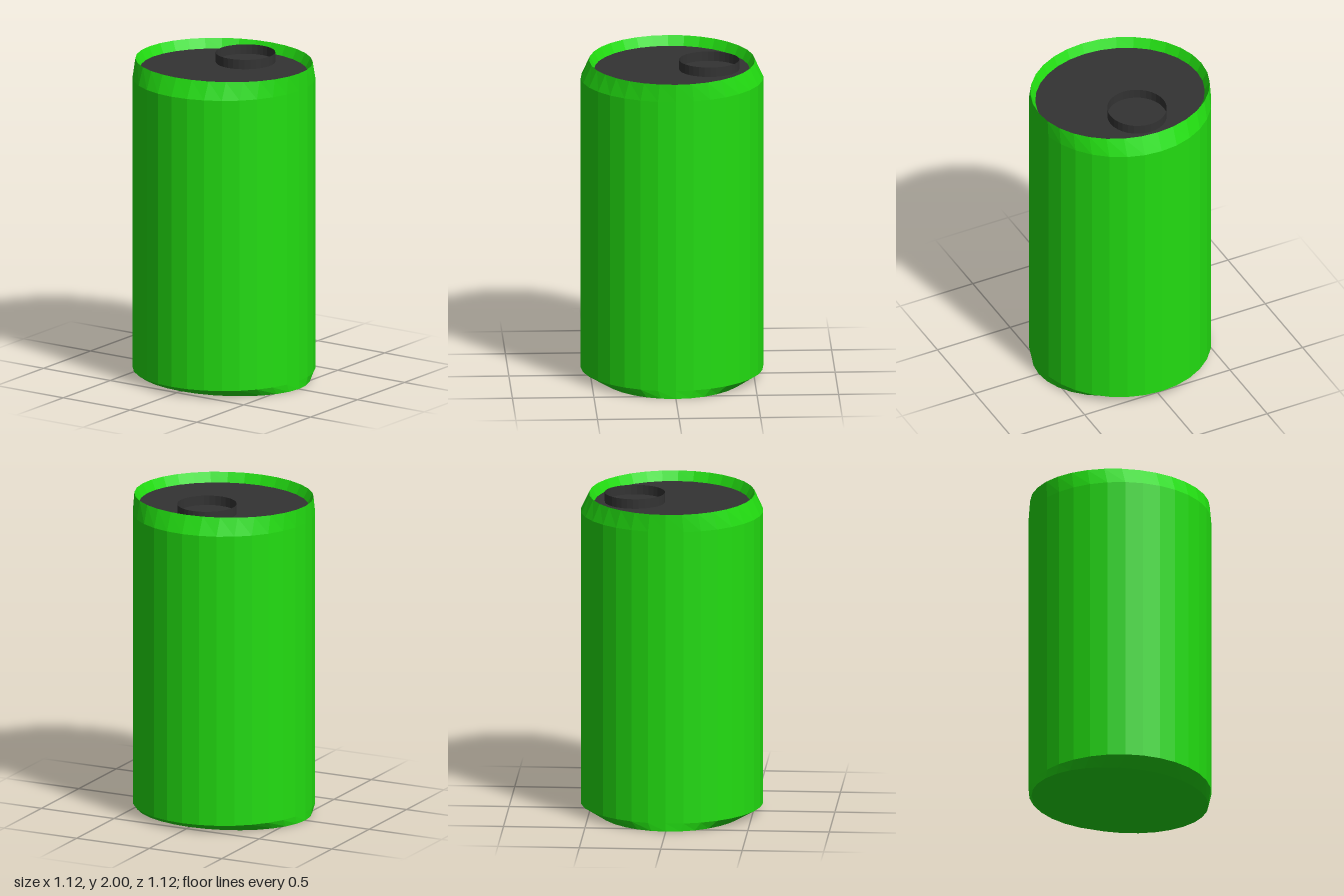
import * as THREE from 'three';

const SIDES = 32;

// Loft of elliptical rings: each section is [y, half width in x, half depth in z]
function ellipticalLoft(sections) {
  const profile = sections.map(([y, , rz]) => new THREE.Vector2(rz, y));
  const geometry = new THREE.LatheGeometry(profile, SIDES);
  const pos = geometry.attributes.position;
  for (let i = 0; i < pos.count; i++) {
    const [, rx, rz] = sections[i % sections.length];
    if (rz > 0) pos.setX(i, pos.getX(i) * rx / rz);
  }
  geometry.computeVertexNormals();
  return geometry;
}

export function createModel() {
  const can = new THREE.Group();
  can.name = 'drinkCan';
  const green = new THREE.MeshStandardMaterial({ color: 0x22dd11, flatShading: true, side: THREE.DoubleSide });
  const dark = new THREE.MeshStandardMaterial({ color: 0x333333, flatShading: true, side: THREE.DoubleSide });

  const add = (name, geometry, material) => {
    const mesh = new THREE.Mesh(geometry, material);
    mesh.name = name;
    can.add(mesh);
    return mesh;
  };

  // Base, wall, shoulder and inward lip; the ends narrow only from front to back
  add('body', ellipticalLoft([
    [0, 0, 0],
    [0, 0.56, 0.458],
    [0.05, 0.56, 0.56],
    [1.89, 0.56, 0.56],
    [2, 0.56, 0.508],
    [1.94, 0.53, 0.477],
  ]), green);

  // Sunken lid
  const lid = new THREE.CircleGeometry(1, SIDES).rotateX(-Math.PI / 2).scale(0.53, 1, 0.477);
  add('lid', lid, dark).position.y = 1.94;

  // Thin ring standing on the lid towards the back
  const ring = new THREE.CylinderGeometry(1, 1, 0.06, SIDES, 1, true).scale(0.182, 1, 0.185);
  add('pullRing', ring, dark).position.set(0, 1.97, -0.228);

  return can;
}
